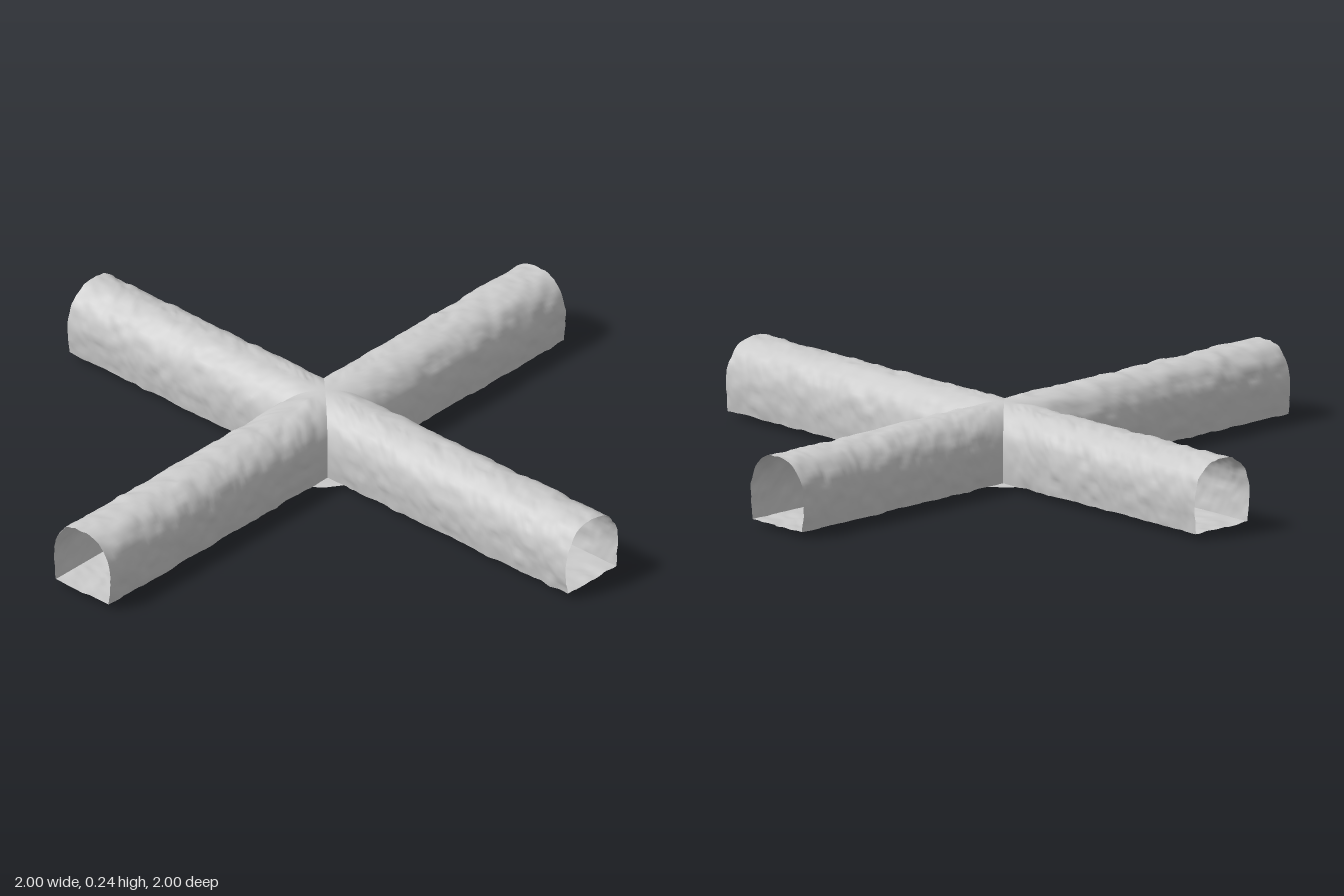
import * as THREE from 'three';

const CX = 0.067, CZ = -0.07; // centre of the crossing

// Small deterministic value noise for the hewn rock surface
function hash(x, y, z) {
  const s = Math.sin(x * 127.1 + y * 311.7 + z * 74.7) * 43758.5453;
  return s - Math.floor(s);
}
function noise(x, y, z) {
  const ix = Math.floor(x), iy = Math.floor(y), iz = Math.floor(z);
  const ease = t => t * t * (3 - 2 * t);
  const fx = ease(x - ix), fy = ease(y - iy), fz = ease(z - iz);
  const mix = THREE.MathUtils.lerp;
  const row = (j, k) => mix(hash(ix, iy + j, iz + k), hash(ix + 1, iy + j, iz + k), fx);
  return mix(mix(row(0, 0), row(1, 0), fy), mix(row(0, 1), row(1, 1), fy), fz) - 0.5;
}

const material = new THREE.MeshStandardMaterial({ color: 0xcccccc, side: THREE.DoubleSide });

// Grid surface: point(s, t) for s, t in 0..1
function sheet(name, nu, nv, point) {
  const pos = [], index = [];
  for (let i = 0; i <= nu; i++)
    for (let j = 0; j <= nv; j++) pos.push(...point(i / nu, j / nv));
  for (let i = 0; i < nu; i++)
    for (let j = 0; j < nv; j++) {
      const a = i * (nv + 1) + j, b = a + nv + 1;
      index.push(a, b, a + 1, b, b + 1, a + 1);
    }
  const g = new THREE.BufferGeometry();
  g.setAttribute('position', new THREE.Float32BufferAttribute(pos, 3));
  g.setIndex(index);
  g.computeVertexNormals();
  const mesh = new THREE.Mesh(g, material);
  mesh.name = name;
  return mesh;
}

// Horseshoe arch section: (sideways, height), from one foot over the crown to the other
const half = [[0.106, 0.02], [0.111, 0.06], [0.113, 0.1], [0.111, 0.135], [0.1, 0.173], [0.075, 0.207], [0.04, 0.227]];
const arch = new THREE.CatmullRomCurve3([
  ...half.map(([v, y]) => new THREE.Vector3(v, y, 0)),
  new THREE.Vector3(0, 0.232, 0),
  ...half.slice().reverse().map(([v, y]) => new THREE.Vector3(-v, y, 0)),
]);

// One tunnel arm along +x, mitred at the crossing so the four interiors join
function tunnelArm(name, length, seed) {
  const place = (s, v, y) => {
    const start = Math.abs(v);
    const u = start + (length - start) * s;
    const fade = Math.min(1, (u - start) / 0.06);
    const d = fade * (0.009 * noise(u * 24 + seed, y * 32, v * 32 + seed)
      + 0.004 * noise(u * 60, y * 70 + seed, v * 70));
    const dy = y - 0.12, r = Math.hypot(v, dy);
    return [u, y + d * dy / r, v + d * v / r];
  };
  const arm = new THREE.Group();
  arm.name = name;
  arm.add(sheet('vault', 100, 40, (s, t) => {
    const p = arch.getPointAt(t);
    return place(s, p.x, p.y);
  }));
  arm.add(sheet('floor', 100, 16, (s, t) => place(s, 0.106 * (2 * t - 1), 0.02)));
  return arm;
}

export function createModel() {
  const model = new THREE.Group();
  model.name = 'tunnelCrossing';

  // Four arms, turned in quarter steps
  const arms = [['leftArm', 1 - CX], ['backArm', 1 + CZ], ['rightArm', 1 + CX], ['frontArm', 1 - CZ]];
  arms.forEach(([name, length], i) => {
    const arm = tunnelArm(name, length, 17 * (i + 1));
    arm.rotation.y = i * Math.PI / 2;
    arm.position.set(CX, 0, CZ);
    model.add(arm);
  });

  // Shallow round dish under the crossing
  const dish = sheet('crossingDish', 14, 48, (s, t) => {
    const a = t * Math.PI * 2, r = 0.185 * s;
    const x = r * Math.cos(a), z = r * Math.sin(a);
    const lump = 0.005 * s * (noise(x * 28 + 5, 3, z * 28 + 9) + 0.5);
    return [x, 0.012 * s ** 3 + lump, z];
  });
  dish.position.set(0.057, 0, -0.067);
  model.add(dish);

  return model;
}
